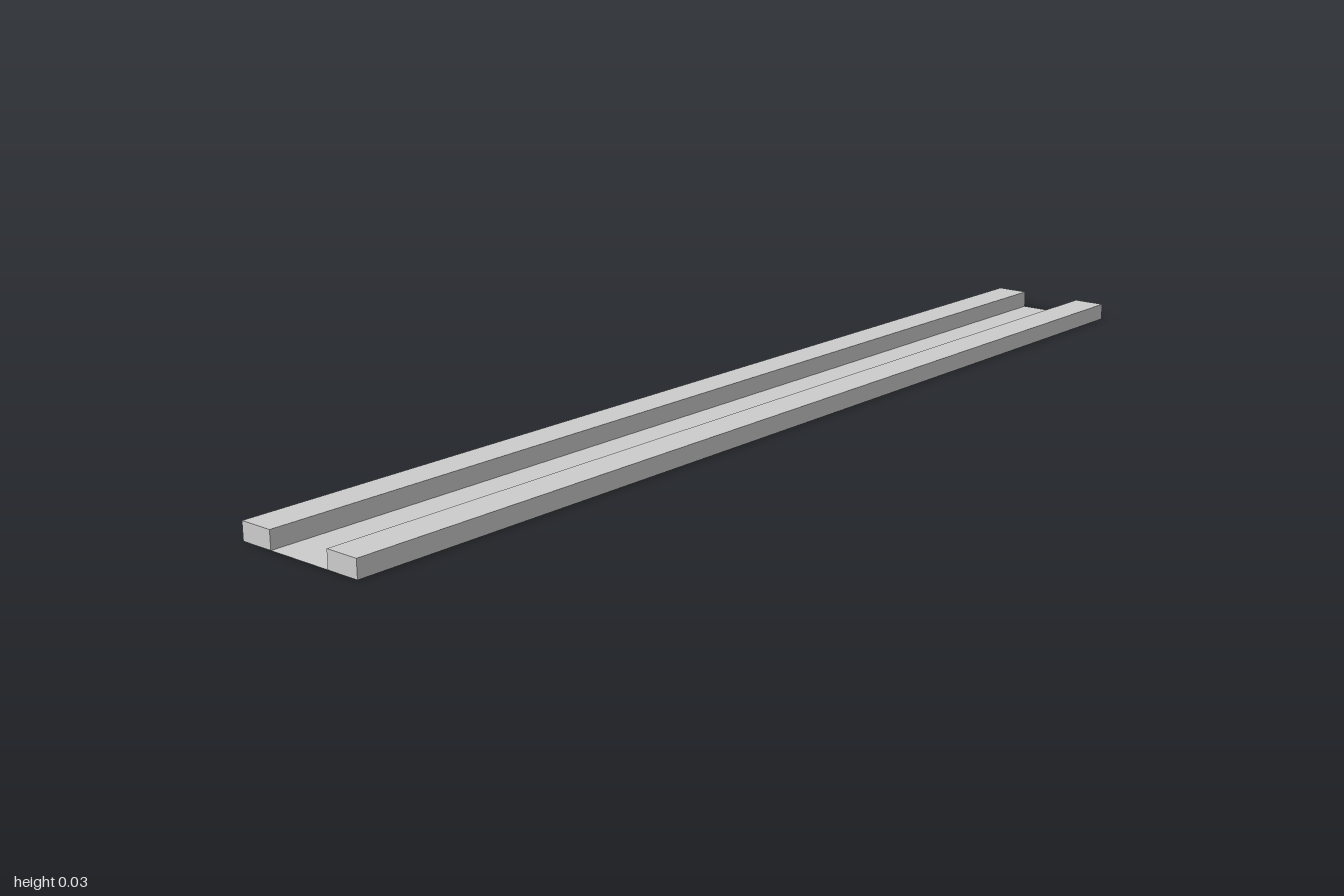
import * as THREE from 'three';

const LENGTH = 2, HALF_WIDTH = 0.125, RAIL_WIDTH = 0.0625, RAIL_HEIGHT = 0.0315;

// Box shell without its bottom face (the fourth of the six sides)
function openBottomBox(w, h, d) {
  const geometry = new THREE.BoxGeometry(w, h, d);
  const index = Array.from(geometry.index.array);
  index.splice(18, 6);
  geometry.setIndex(index);
  geometry.clearGroups();
  return geometry;
}

export function createModel() {
  const model = new THREE.Group();
  model.name = 'channelTrack';
  const material = new THREE.MeshStandardMaterial({ color: 0xcccccc, side: THREE.DoubleSide });

  // Hollow side rails, open underneath
  const railGeometry = openBottomBox(RAIL_WIDTH, RAIL_HEIGHT, LENGTH);
  for (const [name, side] of [['leftRail', 1], ['rightRail', -1]]) {
    const rail = new THREE.Mesh(railGeometry, material);
    rail.name = name;
    rail.position.set(side * (HALF_WIDTH - RAIL_WIDTH / 2), RAIL_HEIGHT / 2, 0);
    model.add(rail);
  }

  // Thin floor sheet between the rails
  const floor = new THREE.Mesh(
    new THREE.PlaneGeometry(2 * (HALF_WIDTH - RAIL_WIDTH), LENGTH).rotateX(-Math.PI / 2),
    material
  );
  floor.name = 'floorSheet';
  model.add(floor);

  return model;
}
